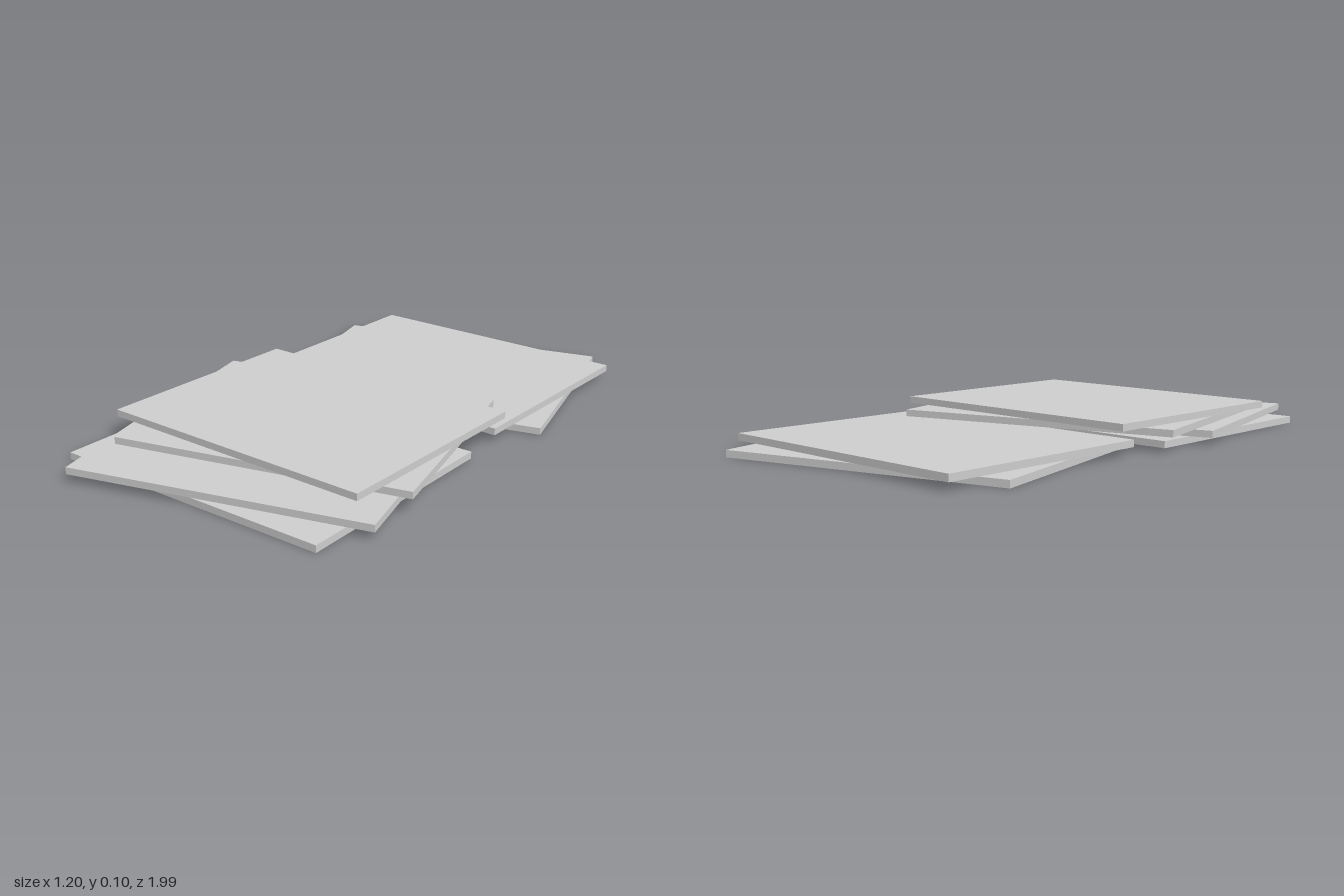
import * as THREE from 'three';

export function createModel() {
  const group = new THREE.Group();
  group.name = 'stackedSlabs';
  const grey = new THREE.MeshStandardMaterial({ color: 0xcccccc });
  grey.name = 'light grey';

  const thickness = 0.024, layerStep = 0.0265;
  const slab = new THREE.BoxGeometry(1.03, thickness, 0.795);

  // Each slab: name, layer from the ground, z centre, turn about y
  const slabs = [
    ['frontSlabBottom', 0, 0.475, 0],
    ['frontSlabSecond', 1, 0.472, 0.27],
    ['frontSlabThird', 2, 0.268, 0.25],
    ['frontSlabTop', 3, 0.27, -0.018],
    ['backSlabBottom', 0, -0.487, 0.25],
    ['backSlabTop', 1, -0.485, -0.018],
  ];
  for (const [name, layer, z, turn] of slabs) {
    const mesh = new THREE.Mesh(slab, grey);
    mesh.name = name;
    mesh.position.set(0, thickness / 2 + layer * layerStep, z);
    mesh.rotation.y = turn;
    group.add(mesh);
  }
  return group;
}
